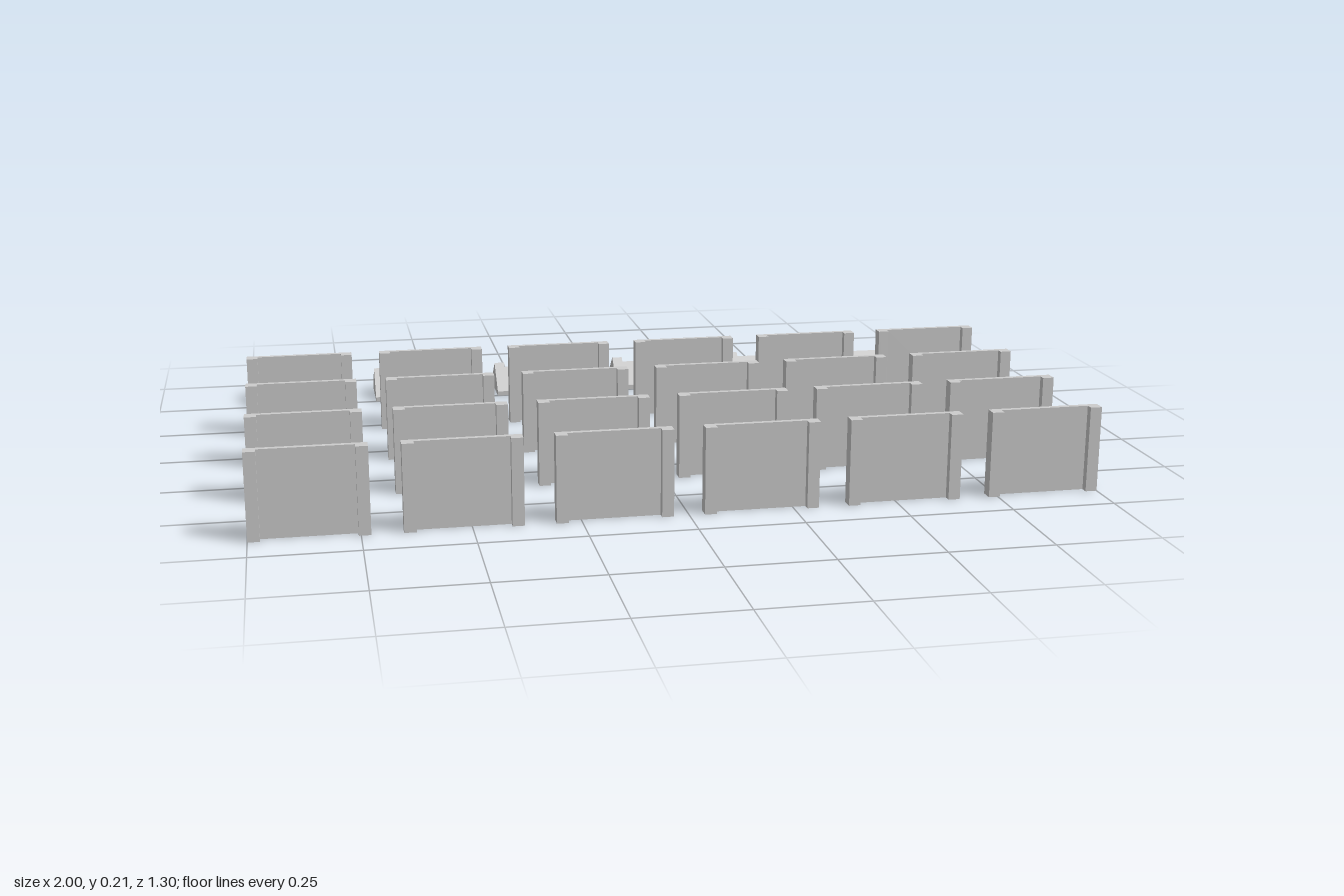
import * as THREE from 'three';

const COLUMNS = 6, PITCH = 0.3455, WIDTH = 0.2725, RIB = 0.028;

export function createModel() {
  const model = new THREE.Group();
  model.name = 'wallAndRoofKit';
  const grey = new THREE.MeshStandardMaterial({ color: 0xcccccc, flatShading: true });
  grey.name = 'plain grey';

  // Outline (x, y) extruded upward or sideways, centred on its depth
  const prism = (points, depth) => {
    const shape = new THREE.Shape(points.map(([x, y]) => new THREE.Vector2(x, y)));
    return new THREE.ExtrudeGeometry(shape, { depth, bevelEnabled: false }).translate(0, 0, -depth / 2);
  };

  // Wall plan: flat back, a pilaster projecting forward at each end
  const w = WIDTH / 2, back = 0.0155, face = 0.0025, front = -0.0155, height = 0.208;
  const wall = prism([
    [-w, front], [-w + RIB, front], [-w + RIB, face], [w - RIB, face],
    [w - RIB, front], [w, front], [w, back], [-w, back],
  ], height).rotateX(-Math.PI / 2).translate(0, height / 2, 0);

  // Roof profiles run along x: full gable for the ribs, sunken gable between them
  const d = 0.075, eave = 0.012;
  const gable = (inset, ridge) => [
    [-d, 0], [d, 0], [d, eave], [d - inset, eave], [0, ridge], [-d + inset, eave], [-d, eave],
  ].filter((p, i) => inset > 0 || (i !== 3 && i !== 5));
  const rib = prism(gable(0, 0.078), RIB).rotateY(Math.PI / 2);
  const bay = WIDTH / 2 - RIB * 1.5;
  const slope = prism(gable(0.014, 0.065), bay).rotateY(Math.PI / 2);

  const add = (parent, geometry, name, x) => {
    const mesh = new THREE.Mesh(geometry, grey);
    mesh.name = name;
    mesh.position.x = x;
    parent.add(mesh);
    return mesh;
  };

  for (let i = 0; i < COLUMNS; i++) {
    const x = (i - (COLUMNS - 1) / 2) * PITCH;

    // Four rows of wall panels
    [0.636, 0.349, 0.062, -0.226].forEach((z, row) => {
      add(model, wall, `wallPanel${row + 1}_${i + 1}`, x).position.z = z;
    });

    // One row of ribbed roof pieces at the back
    const roof = new THREE.Group();
    roof.name = `roofPiece${i + 1}`;
    roof.position.set(x, 0, -0.575);
    for (const s of [-1, 0, 1]) add(roof, rib, 'roofRib', s * (WIDTH - RIB) / 2);
    for (const s of [-1, 1]) add(roof, slope, 'roofSlope', s * (WIDTH - RIB) / 4);
    model.add(roof);
  }
  return model;
}
